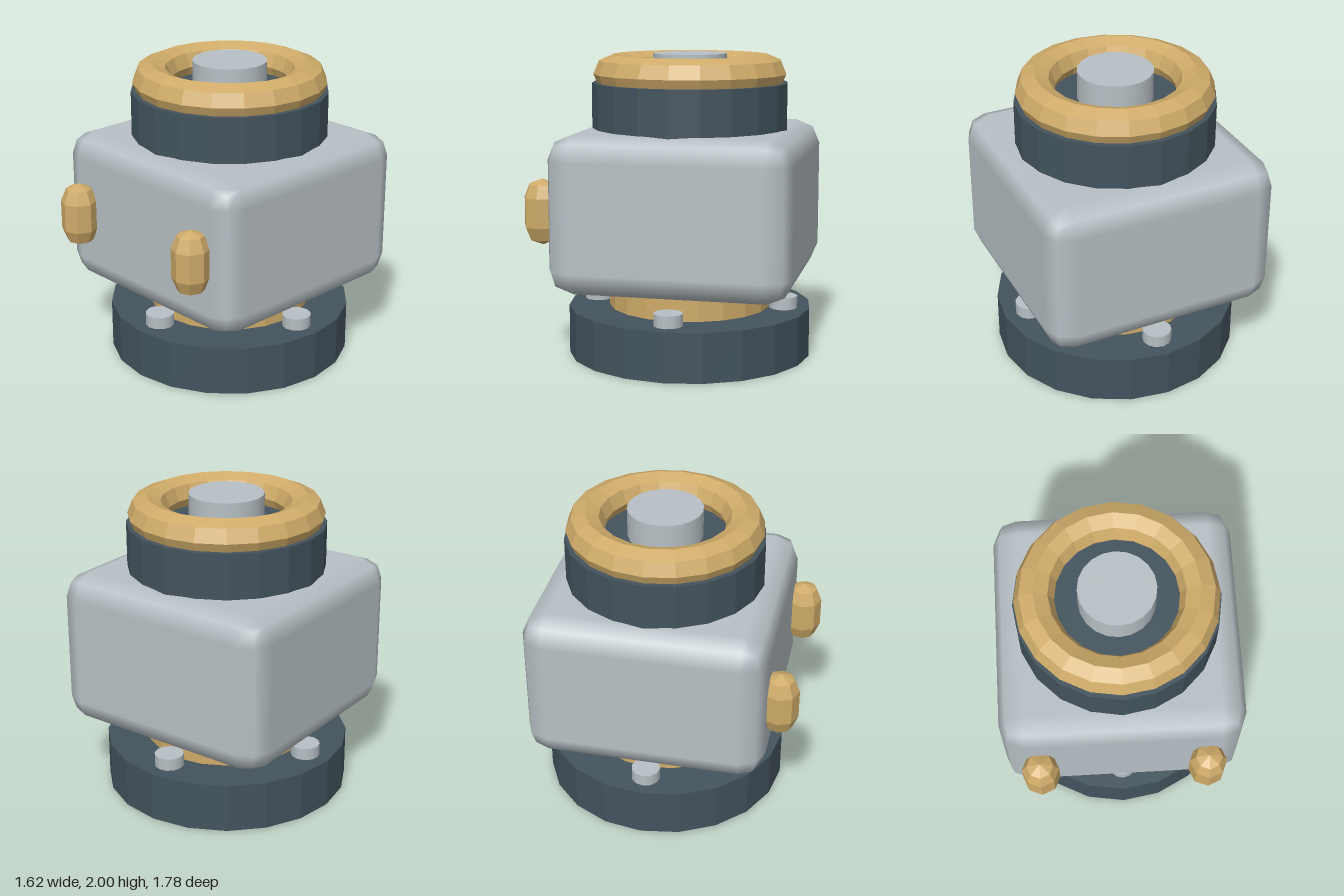
import * as THREE from 'three';

const AXIS_Z = -0.08; // shared vertical axis of the turned parts

function material(name, color, flat) {
  const m = new THREE.MeshStandardMaterial({ color, flatShading: flat });
  m.name = name;
  return m;
}

// Box with edges rounded by a single 45 degree step, smooth normals
function softBox(w, h, d, r) {
  const geo = new THREE.BoxGeometry(2, 2, 2, 3, 3, 3);
  const pos = geo.attributes.position;
  const nor = geo.attributes.normal;
  const core = [w / 2 - r, h / 2 - r, d / 2 - r];
  const n = new THREE.Vector3();
  for (let i = 0; i < pos.count; i++) {
    const p = [pos.getX(i), pos.getY(i), pos.getZ(i)];
    n.set(...p.map((v) => (Math.abs(v) > 0.9 ? Math.sign(v) : 0))).normalize();
    const c = p.map((v, k) => Math.sign(v) * core[k]);
    pos.setXYZ(i, c[0] + n.x * r, c[1] + n.y * r, c[2] + n.z * r);
    nor.setXYZ(i, n.x, n.y, n.z);
  }
  return geo;
}

export function createModel() {
  const model = new THREE.Group();
  model.name = 'valveHousing';
  const dark = material('darkSteel', 0x43535d, true);
  const brass = material('brass', 0xcfab69, true);
  const silver = material('silver', 0xb7c0c5, false);

  const add = (name, geo, mat, x, y, z) => {
    const mesh = new THREE.Mesh(geo, mat);
    mesh.name = name;
    mesh.position.set(x, y, z);
    model.add(mesh);
    return mesh;
  };
  // Upright cylinder between two heights
  const drum = (name, r, y0, y1, mat, x = 0, z = AXIS_Z, sides = 20) =>
    add(name, new THREE.CylinderGeometry(r, r, y1 - y0, sides), mat, x, (y0 + y1) / 2, z);

  // Base flange and neck
  drum('baseFlange', 0.81, 0, 0.325, dark);
  drum('neck', 0.54, 0.3, 0.55, brass);

  // Four flange bolts
  for (let i = 0; i < 4; i++) {
    const a = (i * Math.PI) / 2;
    drum('flangeBolt', 0.095, 0.3, 0.405, silver,
      0.635 * Math.sin(a), AXIS_Z + 0.635 * Math.cos(a), 12);
  }

  // Rounded body
  add('body', softBox(1.566, 1.025, 1.566, 0.16), silver, 0, 1.0025, AXIS_Z);

  // Upright studs on the front
  for (const side of [-1, 1]) {
    add('frontStud', new THREE.CapsuleGeometry(0.12, 0.19, 2, 8), brass, side * 0.54, 1.005, 0.77);
  }

  // Collar, ring and centre pin on top
  drum('collar', 0.645, 1.42, 1.81, dark);
  const ring = add('topRing', new THREE.TorusGeometry(0.51, 0.125, 8, 20), brass, 0, 1.867, AXIS_Z);
  ring.rotation.x = -Math.PI / 2;
  drum('centrePin', 0.243, 1.75, 2, silver);

  return model;
}
